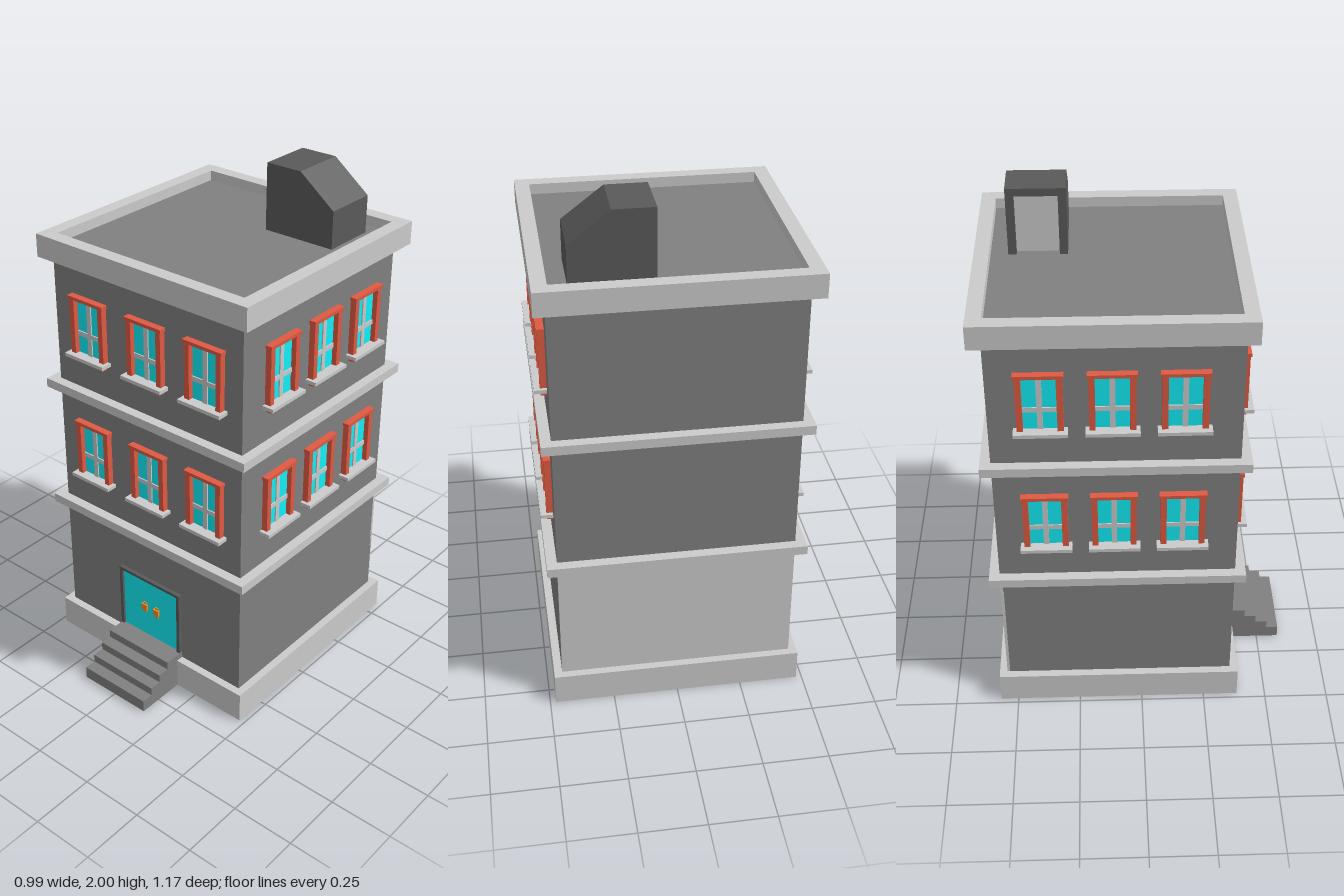
import * as THREE from 'three';

const mat = (color) => new THREE.MeshStandardMaterial({ color });
const M = {
  wall: mat(0x808080), trim: mat(0xcccccc), dark: mat(0x5a5a5a), glass: mat(0x12f0f8),
  red: mat(0xe05a42), gold: mat(0xe8952a),
};
const CZ = -0.092; // middle of the building in z
const HALF = 0.447; // half width of the walls

function add(parent, name, geometry, material, x = 0, y = 0, z = 0) {
  const mesh = new THREE.Mesh(geometry, material);
  mesh.name = name;
  mesh.position.set(x, y, z);
  parent.add(mesh);
  return mesh;
}

// Box given by its extents on each axis
function box(parent, name, material, [x0, x1], [y0, y1], [z0, z1]) {
  return add(parent, name, new THREE.BoxGeometry(x1 - x0, y1 - y0, z1 - z0), material,
    (x0 + x1) / 2, (y0 + y1) / 2, (z0 + z1) / 2);
}

// Square slab around the building
const slab = (parent, name, material, half, y) =>
  box(parent, name, material, [-half, half], y, [CZ - half, CZ + half]);

// Window facing +z, origin on the wall at the underside of the sill
function makeWindow() {
  const g = new THREE.Group();
  g.name = 'window';
  box(g, 'glass', M.glass, [-0.065, 0.065], [0.01, 0.24], [-0.005, 0.004]);
  box(g, 'mullion', M.trim, [-0.01, 0.01], [0.01, 0.235], [0, 0.009]);
  box(g, 'crossbar', M.trim, [-0.062, 0.062], [0.086, 0.104], [0, 0.009]);
  for (const s of [-1, 1]) {
    box(g, 'jamb', M.red, [s * 0.071 - 0.011, s * 0.071 + 0.011], [0.01, 0.235], [0, 0.024]);
    box(g, 'bracket', M.red, [s * 0.066 - 0.008, s * 0.066 + 0.008], [-0.02, 0.002], [0, 0.022]);
  }
  box(g, 'head', M.red, [-0.087, 0.087], [0.233, 0.246], [0, 0.028]);
  box(g, 'sill', M.trim, [-0.096, 0.096], [0, 0.014], [0, 0.046]);
  return g;
}

// Extrude a side outline drawn in x, y along z from z0 to z1
function extrude(points, z0, z1) {
  const shape = new THREE.Shape(points.map(([x, y]) => new THREE.Vector2(x, y)));
  return new THREE.ExtrudeGeometry(shape, { depth: z1 - z0, bevelEnabled: false }).translate(0, 0, z0);
}

export function createModel() {
  const model = new THREE.Group();
  model.name = 'building';

  // Main block, plinth and floor bands
  slab(model, 'walls', M.wall, HALF, [0.1, 1.74]);
  slab(model, 'plinth', M.trim, 0.478, [0, 0.125]);
  for (const y of [0.62, 1.15]) slab(model, 'floorBand', M.trim, 0.486, [y, y + 0.036]);
  box(model, 'backGroundWall', M.trim, [-HALF, HALF], [0.125, 0.62], [CZ - HALF - 0.001, CZ - HALF + 0.01]);

  // Parapet ring around the sunken roof
  const square = (h, C) => new C([[-h, -h], [h, -h], [h, h], [-h, h]].map(([x, y]) => new THREE.Vector2(x, y)));
  const ring = square(0.49, THREE.Shape);
  ring.holes.push(square(0.435, THREE.Path));
  const parapet = new THREE.ExtrudeGeometry(ring, { depth: 0.09, bevelEnabled: false }).rotateX(-Math.PI / 2);
  add(model, 'parapet', parapet, M.trim, 0, 1.69, CZ - 0.004);

  // Windows on the front and both sides, two floors of three
  const faces = [
    { turn: 0, spots: [-0.271, 0.011, 0.285].map((x) => [x, CZ + HALF]) },
    { turn: 1, spots: [-0.354, -0.102, 0.15].map((z) => [HALF, z]) },
    { turn: -1, spots: [-0.354, -0.102, 0.15].map((z) => [-HALF, z]) },
  ];
  for (const { turn, spots } of faces) {
    for (const [x, z] of spots) {
      for (const y of [0.795, 1.325]) {
        const w = makeWindow();
        w.position.set(x, y, z);
        w.rotation.y = turn * Math.PI / 2;
        model.add(w);
      }
    }
  }

  // Double door with frame and handles
  const door = new THREE.Group();
  door.name = 'door';
  model.add(door);
  const front = CZ + HALF;
  box(door, 'doorGlass', M.glass, [-0.148, 0.146], [0.14, 0.425], [front - 0.01, front + 0.006]);
  for (const x of [-0.158, 0.142]) box(door, 'doorPost', M.dark, [x, x + 0.014], [0.125, 0.434], [front - 0.01, front + 0.016]);
  box(door, 'doorHead', M.dark, [-0.158, 0.156], [0.422, 0.434], [front - 0.01, front + 0.016]);
  for (const s of [-1, 1]) {
    const x = s * 0.031;
    box(door, 'handlePlate', M.gold, [x - 0.008, x + 0.008], [0.262, 0.312], [front, front + 0.01]);
    box(door, 'handleLever', M.gold, [x - 0.014, x + 0.014], [0.276, 0.304], [front + 0.006, front + 0.016]);
  }

  // Front steps as one stepped outline, turned so the outline runs along z
  const outline = [[0.33, 0], [0.588, 0]];
  for (let i = 0; i < 4; i++) {
    const y = 0.05 + i * 0.034;
    outline.push([0.588 - i * 0.048, y], [i < 3 ? 0.54 - i * 0.048 : 0.33, y]);
  }
  add(model, 'steps', extrude(outline, -0.157, 0.157).rotateY(-Math.PI / 2), M.wall);

  // Stair housing on the roof, sloping to one side and with a doorway on the other
  const housing = new THREE.Group();
  housing.name = 'roofHousing';
  model.add(housing);
  const z0 = -0.467, z1 = -0.251, t = 0.03;
  const side = [[0.065, 1.73], [0.365, 1.73], [0.365, 1.885], [0.215, 2], [0.065, 2]];
  add(housing, 'sideWall', extrude(side, z0, z0 + t), M.dark);
  add(housing, 'sideWall', extrude(side, z1 - t, z1), M.dark);
  const core = [[0.095, 1.73], [0.365, 1.73], [0.365, 1.885], [0.215, 2], [0.095, 2]];
  add(housing, 'core', extrude(core, z0 + t, z1 - t), M.dark);
  box(housing, 'lintel', M.dark, [0.065, 0.1], [1.97, 2], [z0 + t, z1 - t]);
  box(housing, 'roofDoor', M.trim, [0.09, 0.1], [1.73, 1.97], [z0 + t, z1 - t]);

  return model;
}
